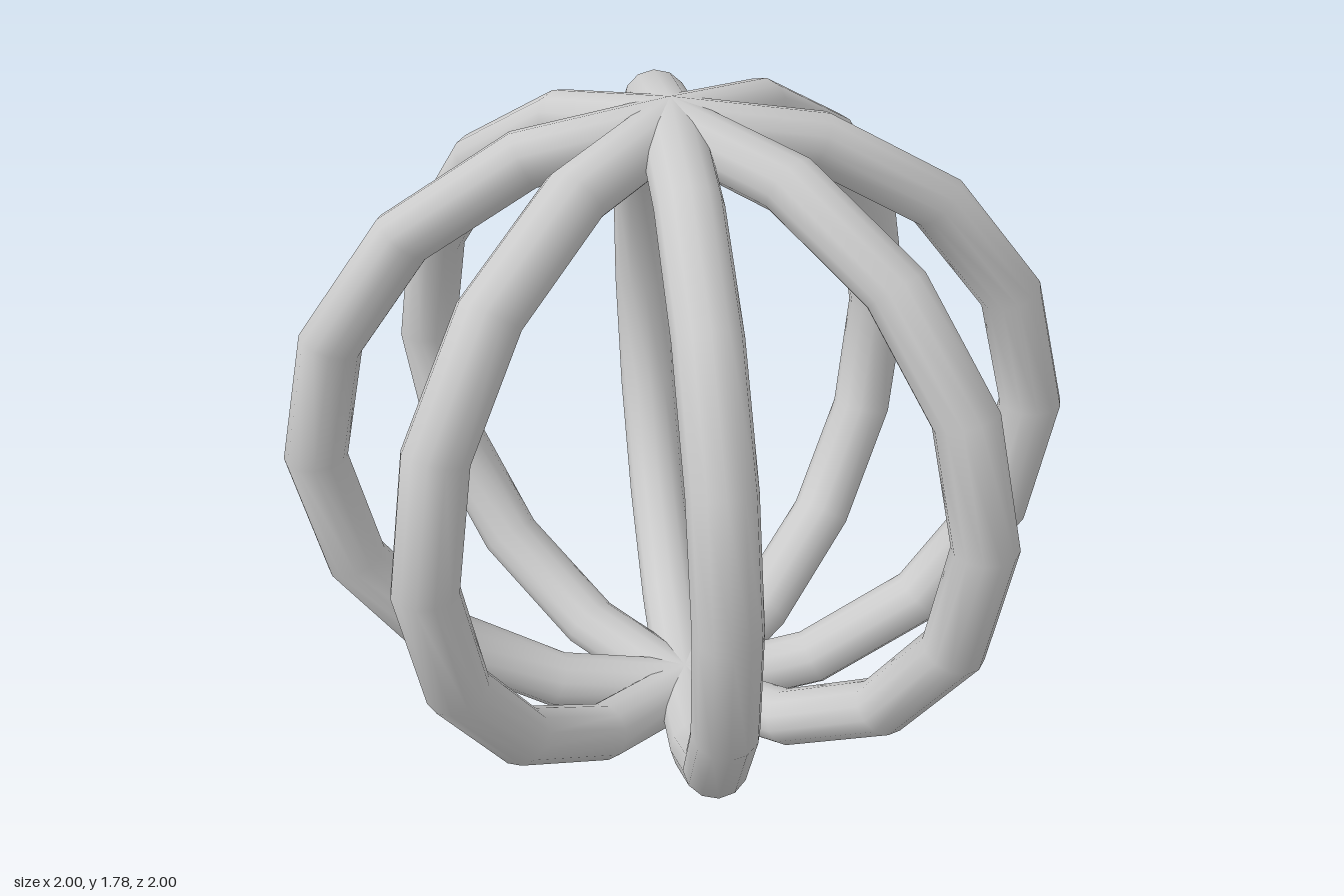
import * as THREE from 'three';

export function createModel() {
  const model = new THREE.Group();
  model.name = 'ringCage';
  const material = new THREE.MeshStandardMaterial({ color: 0xcccccc });

  // One coarse, smooth-shaded hoop, slightly flattened in height
  const hoop = new THREE.TorusGeometry(0.92, 0.08, 12, 16);
  hoop.scale(1, 0.892, 1);

  // Four upright hoops crossing at the poles
  const cage = new THREE.Group();
  cage.name = 'cage';
  const turns = { sideHoop: 0, leftDiagonalHoop: -Math.PI / 4, frontHoop: -1.6, rightDiagonalHoop: Math.PI / 4 };
  for (const [name, turn] of Object.entries(turns)) {
    const mesh = new THREE.Mesh(hoop, material);
    mesh.name = name;
    mesh.rotation.y = turn;
    cage.add(mesh);
  }

  // The whole cage leans back a little
  cage.rotation.x = -0.029;
  cage.position.y = 0.893;
  model.add(cage);
  return model;
}
